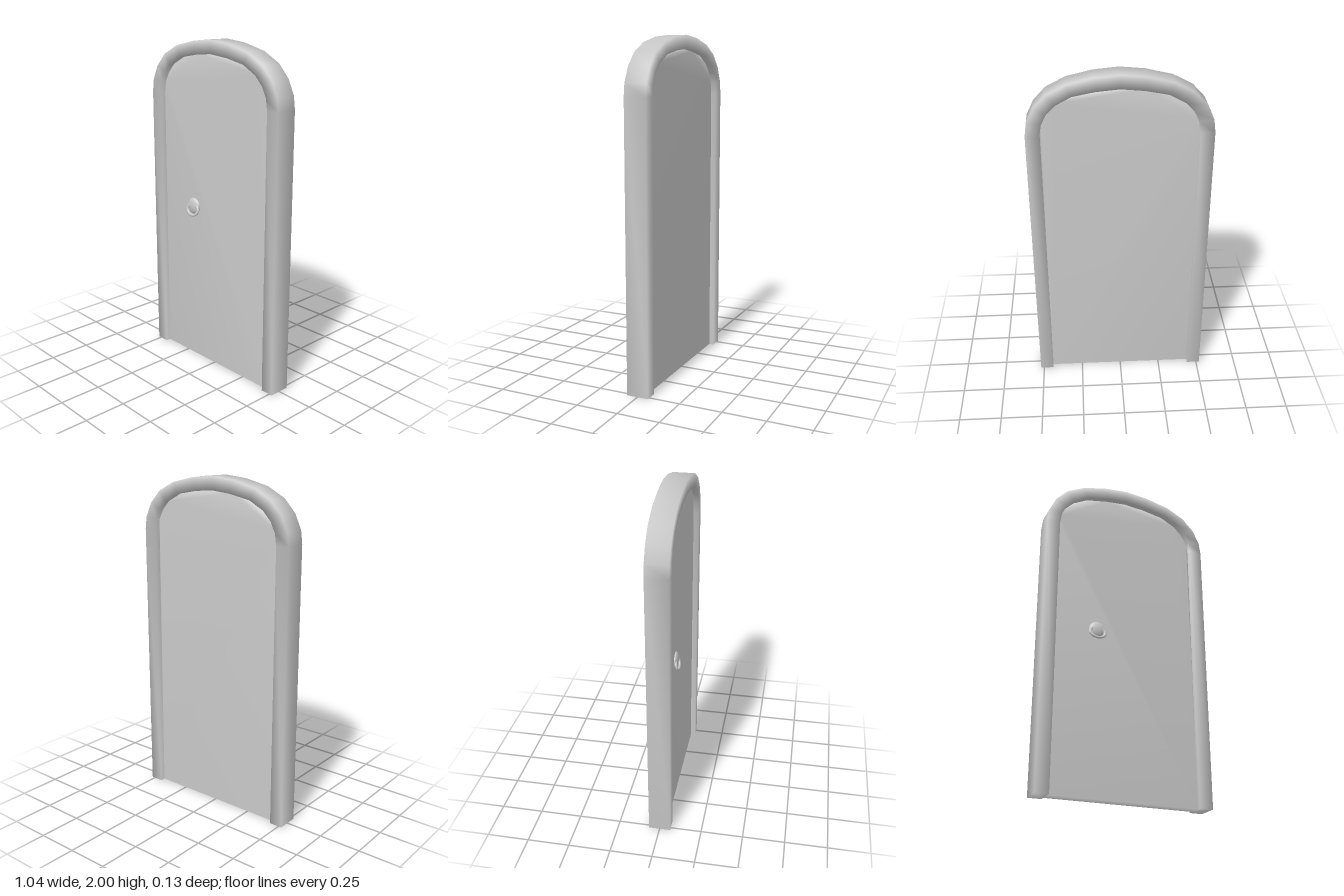
import * as THREE from 'three';
import { mergeVertices } from 'three/addons/utils/BufferGeometryUtils.js';

const material = new THREE.MeshStandardMaterial({ color: 0xcccccc });
const FRAME_Z = 0.065, PANEL_Z = 0.035;

// Right half of each arch, from the floor up to the crown
const OUTER = [[0.52, 0], [0.52, 1.66], [0.51, 1.735], [0.47, 1.82], [0.4, 1.895], [0.29, 1.952], [0.14, 1.987], [0, 2]];
const INNER = [[0.44, 0], [0.44, 1.66], [0.43, 1.725], [0.4, 1.785], [0.35, 1.837], [0.26, 1.885], [0.13, 1.91], [0, 1.922]];

const mirrored = (half) => [...half, ...half.slice(0, -1).reverse().map(([x, y]) => [-x, y])];

function add(parent, name, geometry) {
  const mesh = new THREE.Mesh(geometry, material);
  mesh.name = name;
  parent.add(mesh);
  return mesh;
}

// Four-cornered section swept between the outer and inner arches, softly shaded
function frameGeometry() {
  const outer = mirrored(OUTER), inner = mirrored(INNER);
  const positions = [], index = [];
  outer.forEach(([ox, oy], i) => {
    const [ix, iy] = inner[i];
    positions.push(ox, oy, FRAME_Z, ix, iy, FRAME_Z, ix, iy, -FRAME_Z, ox, oy, -FRAME_Z);
    if (i === outer.length - 1) return;
    for (let j = 0; j < 4; j++) {
      const a = i * 4 + j, b = i * 4 + (j + 1) % 4, c = b + 4, d = a + 4;
      index.push(a, d, c, a, c, b);
    }
  });
  const e = (outer.length - 1) * 4;
  index.push(0, 1, 2, 0, 2, 3, e, e + 3, e + 2, e, e + 2, e + 1);
  const geometry = new THREE.BufferGeometry();
  geometry.setAttribute('position', new THREE.Float32BufferAttribute(positions, 3));
  geometry.setIndex(index);
  geometry.computeVertexNormals();
  return geometry;
}

// Arched slab with shared corners so its shading runs smoothly over the edges
function panelGeometry() {
  const shape = new THREE.Shape(mirrored(INNER).map(([x, y]) => new THREE.Vector2(x, y)));
  let geometry = new THREE.ExtrudeGeometry(shape, { depth: PANEL_Z * 2, bevelEnabled: false });
  geometry.translate(0, 0, -PANEL_Z);
  geometry.deleteAttribute('normal');
  geometry.deleteAttribute('uv');
  geometry = mergeVertices(geometry, 1e-4);
  geometry.computeVertexNormals();
  return geometry;
}

export function createModel() {
  const door = new THREE.Group();
  door.name = 'archedDoor';
  add(door, 'frame', frameGeometry());
  add(door, 'panel', panelGeometry());

  // Ring pull hanging from a domed boss
  const handle = new THREE.Group();
  handle.name = 'handle';
  handle.position.set(-0.18, 0.99, PANEL_Z);
  const boss = add(handle, 'handleBoss', new THREE.SphereGeometry(0.05, 20, 14));
  boss.position.y = 0.005;
  boss.scale.z = 0.4;
  const ring = add(handle, 'handleRing', new THREE.TorusGeometry(0.046, 0.01, 10, 28));
  ring.position.set(0, -0.015, 0.015);
  ring.rotation.x = -0.2;
  ring.scale.set(1, 0.78, 0.7);
  door.add(handle);
  return door;
}
